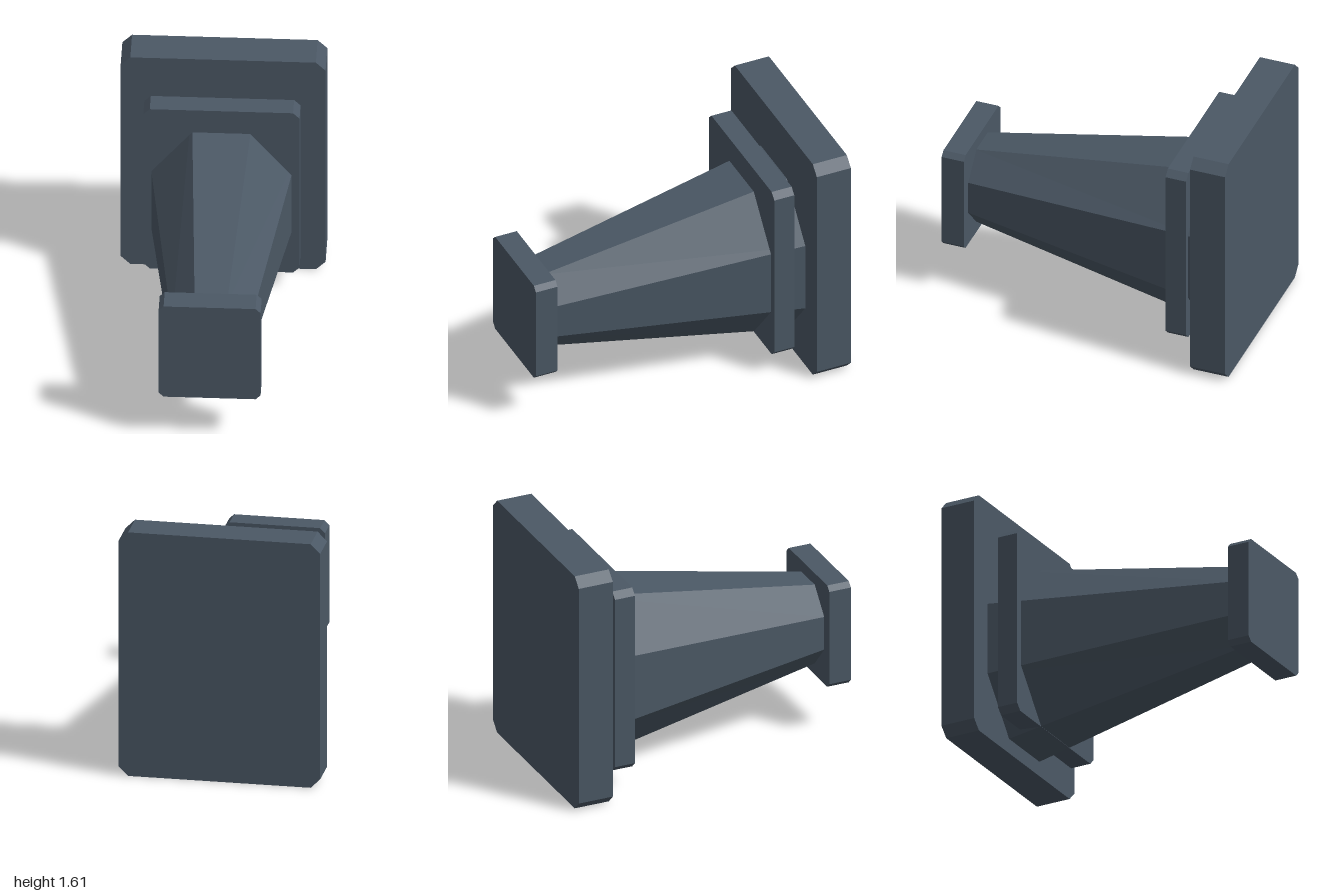
import * as THREE from 'three';

const steel = new THREE.MeshStandardMaterial({ color: 0x4b5865, flatShading: true });
steel.name = 'slateGrey';

// Rectangular flange with chamfered corners, spanning z0 to z1
function flange(name, halfWidth, y0, y1, z0, z1, cut) {
  const w = halfWidth;
  const shape = new THREE.Shape([
    [-w + cut, y0], [w - cut, y0], [w, y0 + cut], [w, y1 - cut],
    [w - cut, y1], [-w + cut, y1], [-w, y1 - cut], [-w, y0 + cut],
  ].map(([x, y]) => new THREE.Vector2(x, y)));
  const geometry = new THREE.ExtrudeGeometry(shape, { depth: z1 - z0, bevelEnabled: false });
  geometry.translate(0, 0, z0);
  const mesh = new THREE.Mesh(geometry, steel);
  mesh.name = name;
  return mesh;
}

// Octagonal cross-section, counter-clockwise seen from the front
function octagon(rx, ry, cy, z) {
  const r = 1 / Math.cos(Math.PI / 8);
  return Array.from({ length: 8 }, (_, i) => {
    const a = (i + 0.5) * Math.PI / 4;
    return [rx * r * Math.cos(a), cy + ry * r * Math.sin(a), z];
  });
}

// Tapered eight-sided body lofted between two cross-sections
function taperedBody() {
  const front = octagon(0.24, 0.271, 0.672, 0.86);
  const back = octagon(0.465, 0.574, 0.672, -0.77);
  const positions = [];
  for (let i = 0; i < 8; i++) {
    const j = (i + 1) % 8;
    positions.push(...back[i], ...back[j], ...front[j]);
    positions.push(...back[i], ...front[j], ...front[i]);
  }
  const geometry = new THREE.BufferGeometry();
  geometry.setAttribute('position', new THREE.Float32BufferAttribute(positions, 3));
  geometry.computeVertexNormals();
  const mesh = new THREE.Mesh(geometry, steel);
  mesh.name = 'taperedBody';
  return mesh;
}

export function createModel() {
  const model = new THREE.Group();
  model.name = 'taperedMount';
  model.add(
    flange('backPlate', 0.635, 0, 1.606, -1, -0.768, 0.06),
    flange('middleCollar', 0.484, 0.137, 1.375, -0.684, -0.548, 0.04),
    taperedBody(),
    flange('frontPlate', 0.316, 0.322, 1.023, 0.853, 1, 0.031),
  );
  return model;
}
